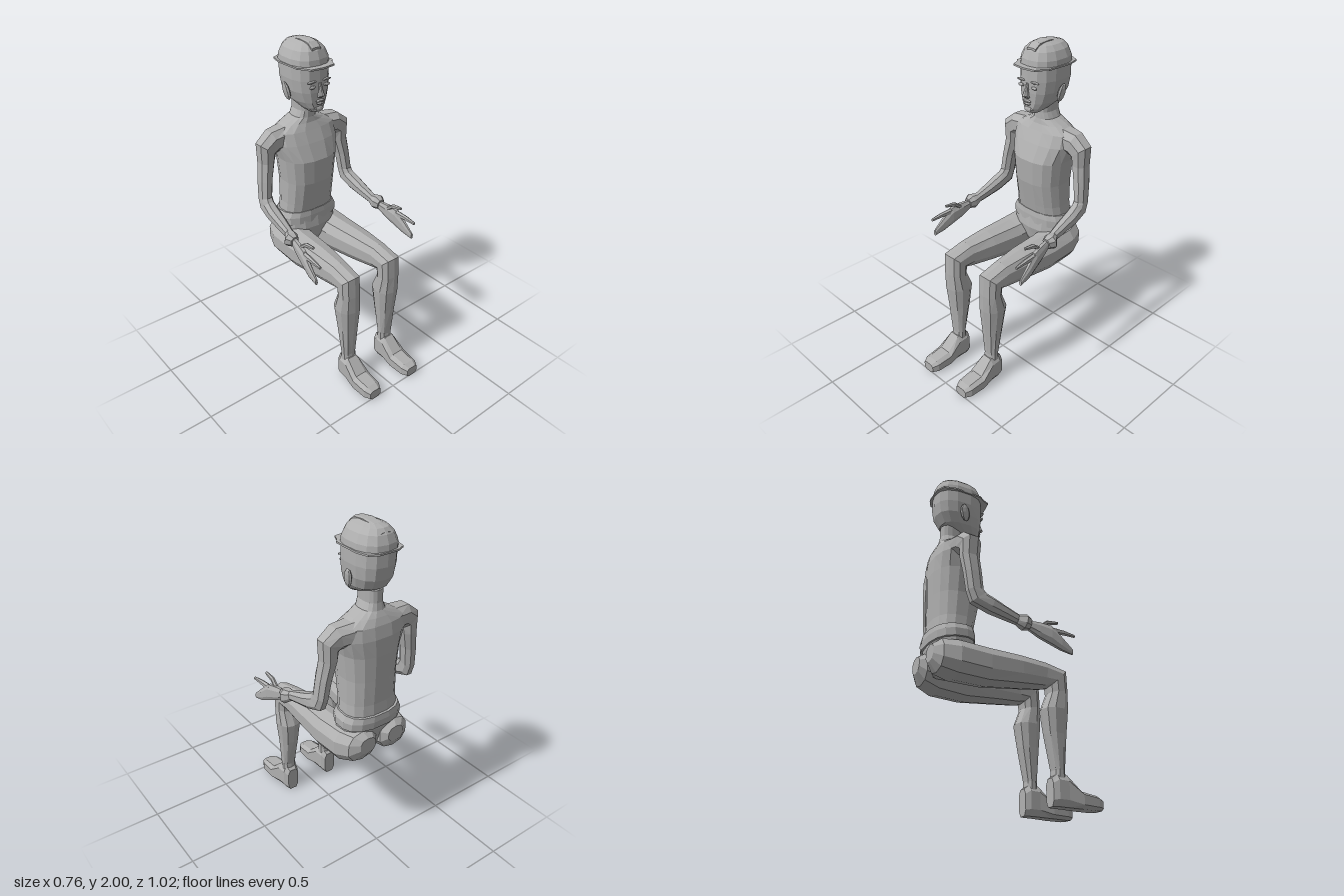
import * as THREE from 'three';

const skin = new THREE.MeshStandardMaterial({ color: 0xb0b0b0 });
skin.name = 'plain grey';

// Mesh with faceted normals
function facet(name, geometry) {
  const g = geometry.index ? geometry.toNonIndexed() : geometry;
  g.computeVertexNormals();
  const mesh = new THREE.Mesh(g, skin);
  mesh.name = name;
  return mesh;
}

// Closed skin through rings [x, y, z, halfWidth, halfDepth, tilt, roll].
// tilt turns the depth axis from z to y, roll turns the width axis from x to y.
function loft(name, rings, { side = 1, n = 12, power = 0.85 } = {}) {
  const rad = THREE.MathUtils.degToRad;
  const soft = (v) => Math.sign(v) * Math.abs(v) ** power;
  const loops = rings.map(([x, y, z, w, d, tilt = 0, roll = 0]) => {
    const u = new THREE.Vector3(side * Math.cos(rad(roll)), Math.sin(rad(roll)), 0);
    const v = new THREE.Vector3(0, Math.sin(rad(tilt)), Math.cos(rad(tilt)));
    return Array.from({ length: n }, (_, i) => {
      const t = ((i + 0.5) / n) * Math.PI * 2;
      return new THREE.Vector3(side * x, y, z)
        .addScaledVector(u, w * soft(Math.cos(t)))
        .addScaledVector(v, d * soft(Math.sin(t)));
    });
  });
  const middle = (loop) => loop.reduce((s, p) => s.add(p), new THREE.Vector3()).divideScalar(n);
  const first = middle(loops[0]);
  const last = middle(loops[loops.length - 1]);
  const tris = [];
  for (let i = 0; i < n; i++) {
    const j = (i + 1) % n;
    for (let k = 0; k + 1 < loops.length; k++) {
      const [a, b] = [loops[k], loops[k + 1]];
      tris.push([a[i], a[j], b[j]], [a[i], b[j], b[i]]);
    }
    const end = loops[loops.length - 1];
    tris.push([first, loops[0][j], loops[0][i]], [last, end[i], end[j]]);
  }
  // Turn the faces outward
  const volume = tris.reduce((s, [a, b, c]) => s + a.clone().sub(first).dot(b.clone().sub(first).cross(c.clone().sub(first))), 0);
  if (volume < 0) tris.forEach((t) => t.reverse());
  return facet(name, new THREE.BufferGeometry().setFromPoints(tris.flat()));
}

// Ring lying flat, given by height, half width and front and back z
const flat = ([y, w, front, back]) => [0, y, (front + back) / 2, w, (front - back) / 2];

// Small squashed ball for facial relief
function lump(name, x, y, z, sx, sy, sz) {
  const mesh = facet(name, new THREE.SphereGeometry(1, 8, 6));
  mesh.scale.set(sx, sy, sz);
  mesh.position.set(x, y, z);
  return mesh;
}

function makeHead() {
  const head = new THREE.Group();
  head.name = 'head';
  head.add(loft('skull', [
    [1.6, 0.04, -0.205, -0.28], [1.625, 0.065, -0.195, -0.36], [1.66, 0.092, -0.192, -0.44],
    [1.72, 0.113, -0.188, -0.475], [1.79, 0.121, -0.188, -0.487], [1.87, 0.119, -0.19, -0.488],
  ].map(flat), { n: 14, power: 0.8 }));
  head.add(loft('cap', [
    [1.865, 0.124, -0.186, -0.492], [1.905, 0.12, -0.19, -0.488], [1.95, 0.1, -0.208, -0.47],
    [1.977, 0.072, -0.235, -0.445], [1.99, 0.04, -0.27, -0.4],
  ].map(flat), { n: 14, power: 0.8 }));

  // Brim: a rim round the head with a short peak in front
  const half = [[0, -0.148], [0.08, -0.16], [0.1, -0.205], [0.122, -0.23], [0.129, -0.4], [0.11, -0.47], [0.06, -0.495]];
  const outline = [...half, ...half.slice(1).reverse().map(([x, z]) => [-x, z])];
  const shape = new THREE.Shape(outline.map(([x, z]) => new THREE.Vector2(x, -z)));
  const brim = facet('capBrim', new THREE.ExtrudeGeometry(shape, { depth: 0.01, bevelEnabled: false }));
  brim.rotation.x = -Math.PI / 2;
  brim.position.y = 1.863;
  head.add(brim);

  // Raised strip over the crown
  head.add(loft('capRidge', [
    [0, 1.955, -0.215, 0.032, 0.012, 90], [0, 1.982, -0.25, 0.034, 0.012, 90],
    [0, 1.99, -0.32, 0.035, 0.01, 90], [0, 1.98, -0.4, 0.034, 0.01, 90], [0, 1.95, -0.46, 0.03, 0.01, 90],
  ], { n: 8, power: 0.5 }));

  head.add(loft('nose', [
    [0, 1.775, -0.193, 0.009, 0.01], [0, 1.73, -0.182, 0.012, 0.014],
    [0, 1.706, -0.177, 0.02, 0.02], [0, 1.692, -0.188, 0.018, 0.012],
  ], { n: 8 }));
  head.add(lump('upperLip', 0, 1.67, -0.19, 0.03, 0.008, 0.014));
  head.add(lump('lowerLip', 0, 1.655, -0.19, 0.025, 0.008, 0.013));
  head.add(lump('chin', 0, 1.62, -0.205, 0.035, 0.02, 0.017));
  for (const s of [1, -1]) {
    head.add(lump('eye', s * 0.05, 1.755, -0.192, 0.023, 0.009, 0.008));
    head.add(lump('brow', s * 0.052, 1.785, -0.194, 0.032, 0.007, 0.012));
    const ear = lump('ear', s * 0.126, 1.715, -0.335, 0.014, 0.055, 0.03);
    ear.rotation.set(-0.2, 0, -s * 0.15);
    head.add(ear);
  }
  return head;
}

function makeArm(side) {
  const arm = new THREE.Group();
  arm.name = side > 0 ? 'leftArm' : 'rightArm';
  arm.add(loft('sleeve', [
    [0.13, 1.44, -0.375, 0.065, 0.085, 0, 90], [0.225, 1.425, -0.365, 0.072, 0.068, 0, 75],
    [0.27, 1.39, -0.362, 0.068, 0.06, 0, 38], [0.272, 1.31, -0.365, 0.047, 0.056],
    [0.293, 1.2, -0.355, 0.04, 0.053], [0.305, 1.09, -0.345, 0.037, 0.05, 12],
    [0.308, 1.045, -0.325, 0.038, 0.058, 40], [0.313, 1.015, -0.25, 0.041, 0.047, 75],
    [0.316, 0.99, -0.17, 0.036, 0.038, 80], [0.323, 0.955, -0.06, 0.024, 0.028, 80],
  ], { side, n: 8 }));
  arm.add(loft('cuff', [
    [0.322, 0.963, -0.095, 0.026, 0.03, 80], [0.335, 0.95, -0.055, 0.046, 0.046, 80],
    [0.332, 0.947, -0.02, 0.028, 0.034, 80],
  ], { side, n: 8 }));
  arm.add(loft('palm', [
    [0.328, 0.945, -0.04, 0.018, 0.025, 90], [0.342, 0.92, 0.035, 0.022, 0.048, 90],
    [0.354, 0.9, 0.1, 0.023, 0.058, 90], [0.364, 0.858, 0.16, 0.018, 0.043, 90],
    [0.37, 0.818, 0.228, 0.009, 0.018, 90],
  ], { side, n: 8 }));
  arm.add(loft('indexFinger', [
    [0.354, 0.93, 0.09, 0.016, 0.022, 90], [0.358, 0.93, 0.18, 0.013, 0.015, 90],
    [0.36, 0.923, 0.252, 0.008, 0.009, 90],
  ], { side, n: 6 }));
  arm.add(loft('thumb', [
    [0.338, 0.935, 0.03, 0.014, 0.024, 70], [0.334, 0.982, 0.09, 0.013, 0.016, 80],
    [0.334, 0.995, 0.16, 0.008, 0.009, 90],
  ], { side, n: 6 }));
  return arm;
}

function makeLeg(side) {
  const leg = new THREE.Group();
  leg.name = side > 0 ? 'leftLeg' : 'rightLeg';
  leg.add(loft('thighAndShin', [
    [0.1, 0.765, -0.508, 0.055, 0.05, 90], [0.112, 0.75, -0.47, 0.1, 0.095, 90],
    [0.13, 0.735, -0.38, 0.116, 0.112, 90], [0.14, 0.725, -0.2, 0.106, 0.11, 90],
    [0.145, 0.735, 0, 0.09, 0.097, 90], [0.152, 0.738, 0.16, 0.069, 0.082, 85],
    [0.154, 0.728, 0.247, 0.067, 0.083, 45], [0.154, 0.645, 0.252, 0.066, 0.06, 8],
    [0.152, 0.54, 0.232, 0.073, 0.079], [0.15, 0.4, 0.236, 0.06, 0.062],
    [0.15, 0.2, 0.247, 0.046, 0.034], [0.15, 0.1, 0.247, 0.048, 0.04],
  ], { side, n: 10 }));
  leg.add(loft('shoe', [
    [0.15, 0.08, 0.195, 0.04, 0.08, 90], [0.151, 0.092, 0.225, 0.055, 0.092, 90],
    [0.152, 0.09, 0.285, 0.056, 0.09, 90], [0.154, 0.049, 0.37, 0.066, 0.049, 90],
    [0.154, 0.042, 0.47, 0.061, 0.042, 90], [0.154, 0.037, 0.507, 0.042, 0.032, 90],
  ], { side, n: 8, power: 0.6 }));
  return leg;
}

export function createModel() {
  const model = new THREE.Group();
  model.name = 'seatedFigure';

  model.add(loft('torso', [
    [0.9, 0.175, -0.25, -0.485], [1.0, 0.166, -0.23, -0.48], [1.15, 0.165, -0.2, -0.485],
    [1.3, 0.18, -0.19, -0.49], [1.4, 0.208, -0.23, -0.488], [1.47, 0.205, -0.262, -0.475],
    [1.51, 0.13, -0.28, -0.458], [1.54, 0.068, -0.285, -0.442], [1.58, 0.05, -0.285, -0.435],
    [1.65, 0.052, -0.285, -0.435],
  ].map(flat), { n: 16, power: 0.8 }));
  model.add(loft('pelvis', [
    [0.68, 0.035, -0.28, -0.44], [0.75, 0.09, -0.24, -0.46], [0.83, 0.185, -0.225, -0.485],
    [0.9, 0.19, -0.235, -0.49],
  ].map(flat), { n: 14 }));
  model.add(loft('belt', [
    [0, 0.86, -0.365, 0.2, 0.132, 4], [0, 0.905, -0.367, 0.2, 0.134, 4], [0, 0.94, -0.367, 0.182, 0.13, 4],
  ], { n: 16, power: 0.8 }));

  model.add(makeHead());
  for (const side of [1, -1]) model.add(makeArm(side), makeLeg(side));
  return model;
}
